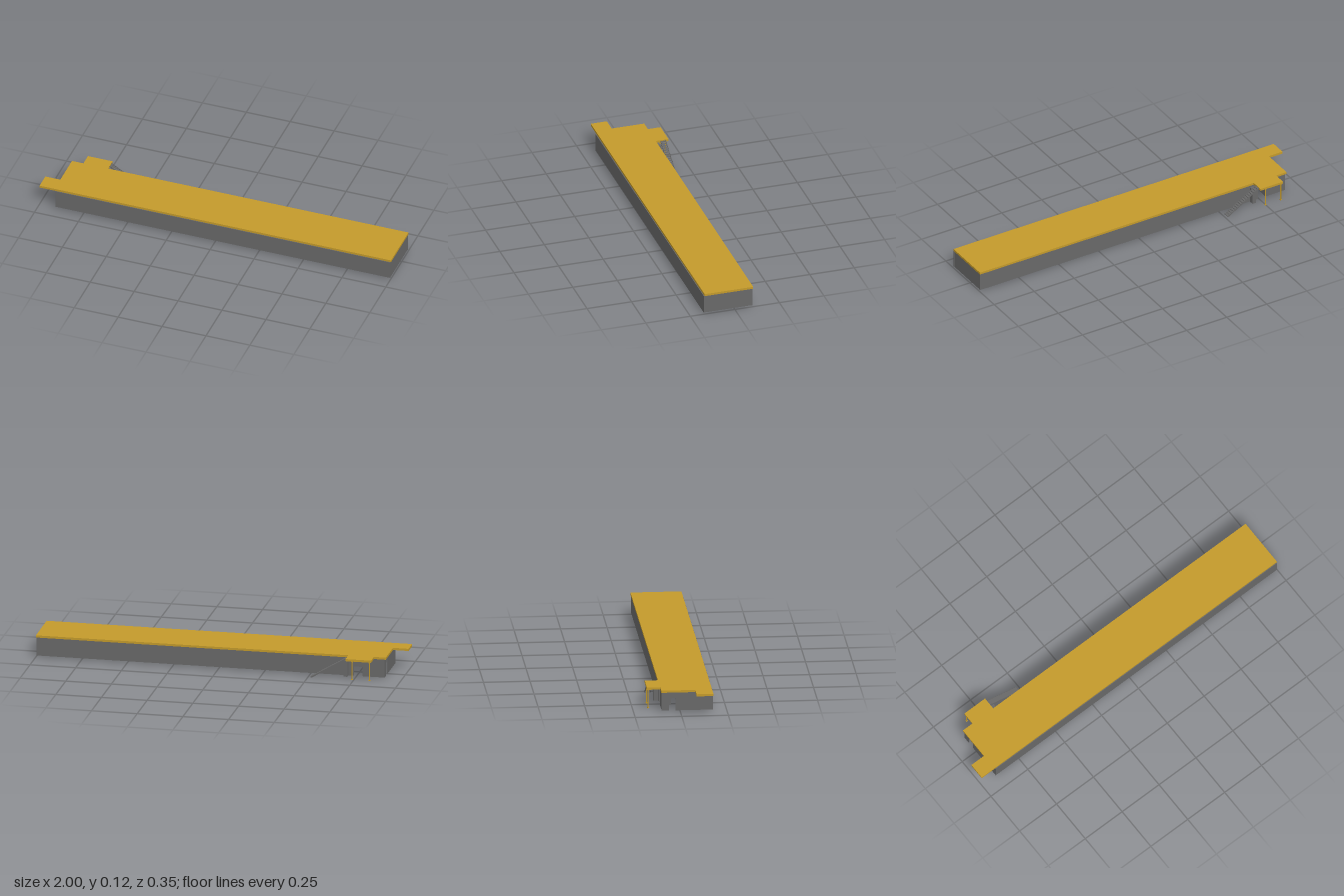
import * as THREE from 'three';

const grey = new THREE.MeshStandardMaterial({ color: 0x686868 });
const ochre = new THREE.MeshStandardMaterial({ color: 0xc39a2b });

export function createModel() {
  const model = new THREE.Group();

  // box given by its min and max corners
  function box(name, x0, x1, y0, y1, z0, z1, material = grey, parent = model) {
    const mesh = new THREE.Mesh(new THREE.BoxGeometry(x1 - x0, y1 - y0, z1 - z0), material);
    mesh.position.set((x0 + x1) / 2, (y0 + y1) / 2, (z0 + z1) / 2);
    mesh.name = name;
    parent.add(mesh);
  }

  // flat roof with stepped outline, drawn as x and z
  const outline = [
    [-1, 0.17], [1, 0.17], [1, -0.103], [-0.71, -0.103], [-0.71, -0.174],
    [-0.85, -0.174], [-0.85, -0.103], [-0.915, -0.103], [-0.915, 0.08], [-1, 0.08],
  ];
  const shape = new THREE.Shape(outline.map(([x, z]) => new THREE.Vector2(x, -z)));
  const roofGeometry = new THREE.ExtrudeGeometry(shape, { depth: 0.012, bevelEnabled: false });
  roofGeometry.rotateX(-Math.PI / 2);
  const roof = new THREE.Mesh(roofGeometry, ochre);
  roof.name = 'roof';
  roof.position.y = 0.109;
  model.add(roof);

  // outer walls, open underneath, with door gaps at the stepped end
  const y0 = 0.008, y1 = 0.109, t = 0.005;
  box('frontWall', -0.908, 0.998, y0, y1, 0.169, 0.174);
  box('leftEndWall', 0.991, 0.996, y0, y1, -0.1 + t, 0.169);
  box('backWall', -0.74, 0.998, y0, y1, -0.1, -0.1 + t);
  box('backCornerWall', -0.908, -0.79, y0, y1, -0.1, -0.1 + t);
  box('rightEndWall', -0.908, -0.908 + t, y0, y1, -0.025, 0.169);
  box('rightCornerWall', -0.908, -0.908 + t, y0, y1, -0.1 + t, -0.06);

  // inner partitions
  box('crossPartition', -0.672, -0.667, y0, y1, -0.1 + t, 0.169);
  box('longPartition', -0.84, -0.672, y0, y1, 0.065, 0.07);
  box('roomPartition', -0.79, -0.785, y0, y1, 0.07, 0.169);
  box('hallPartition', -0.79, -0.785, y0, y1, -0.1 + t, -0.04);

  // short wall between the building and the stair
  box('stairSideWall', -0.71, -0.688, y0, 0.099, -0.128, -0.1);

  // canopy posts with base and head plates
  for (const x of [-0.84, -0.745]) {
    const post = new THREE.Group();
    post.name = 'canopyPost';
    const shaft = new THREE.Mesh(new THREE.CylinderGeometry(0.003, 0.003, 0.104, 12), ochre);
    shaft.name = 'postShaft';
    shaft.position.y = 0.057;
    post.add(shaft);
    box('postBase', -0.0045, 0.0045, 0.005, 0.009, -0.0045, 0.0045, ochre, post);
    box('postHead', -0.0045, 0.0045, 0.105, 0.109, -0.0045, 0.0045, ochre, post);
    post.position.set(x, 0, -0.167);
    model.add(post);
  }

  // straight stair climbing to the roof: two stringers and open treads
  const stair = new THREE.Group();
  stair.name = 'stair';
  const foot = -0.514, head = -0.71, rise = 0.118, steps = 17;
  const stringer = new THREE.Shape([
    new THREE.Vector2(foot, 0), new THREE.Vector2(foot, 0.004),
    new THREE.Vector2(head, rise + 0.003), new THREE.Vector2(head, rise - 0.004),
    new THREE.Vector2(foot - 0.007, 0),
  ]);
  for (const z of [-0.159, -0.13]) {
    const side = new THREE.Mesh(new THREE.ExtrudeGeometry(stringer, { depth: 0.002, bevelEnabled: false }), grey);
    side.name = 'stringer';
    side.position.z = z;
    stair.add(side);
  }
  for (let i = 0; i < steps; i++) {
    const f = (i + 0.5) / steps;
    const x = foot + (head - foot) * f;
    const y = rise * f;
    box('tread', x - 0.0057, x + 0.0057, y - 0.0015, y + 0.0015, -0.157, -0.13, grey, stair);
  }
  model.add(stair);

  return model;
}
